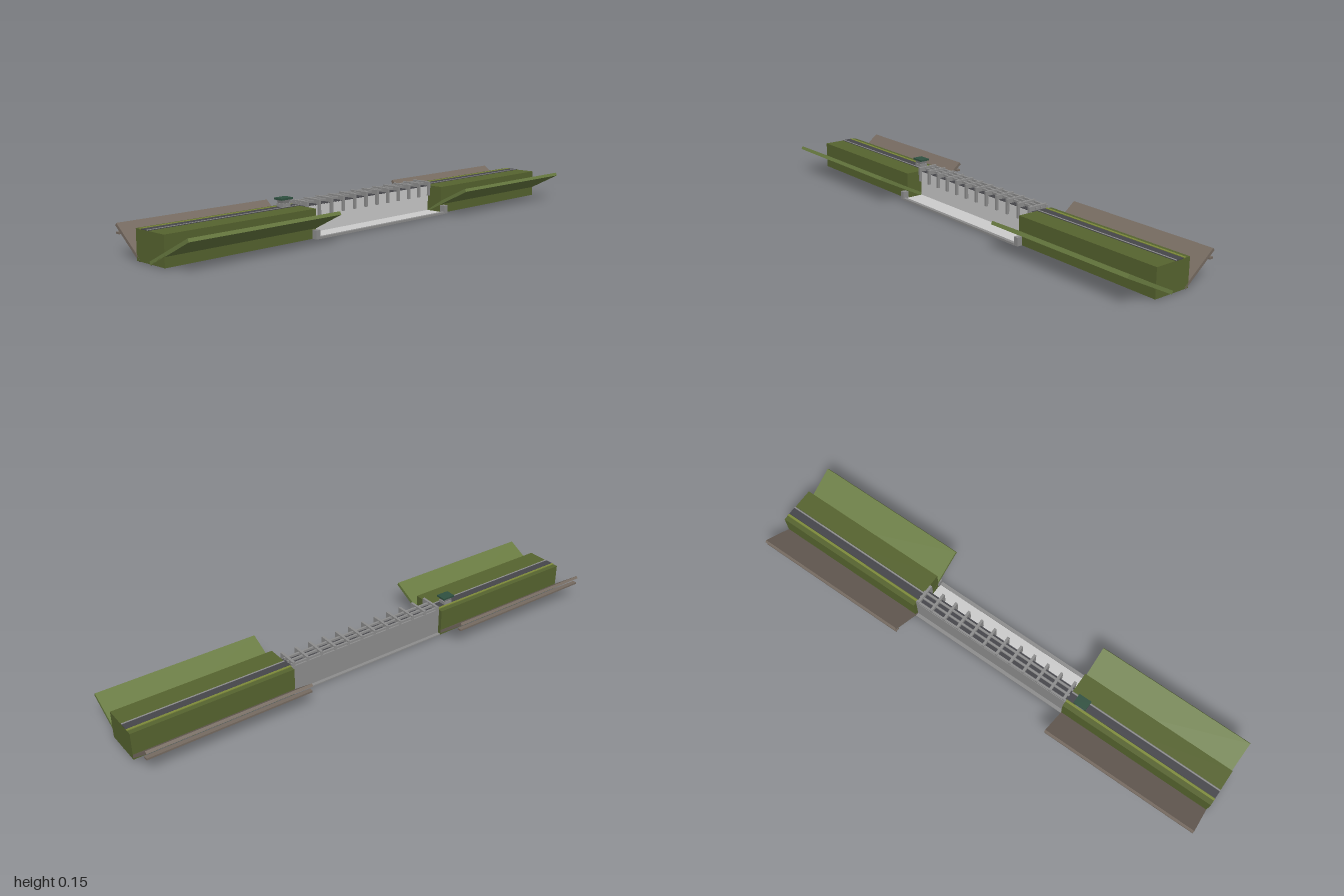
import * as THREE from 'three';

const mat = (color) => new THREE.MeshStandardMaterial({ color });
const GREEN = mat(0x56632f), LIGHT_GREEN = mat(0x687a40), BROWN = mat(0x756a60), DARK = mat(0x45454a);
const STEEL = mat(0x8c8c8c), PALE = mat(0xcccccc), CAP = mat(0x2f5040), LINE = mat(0x7d8a3a);

// Box given by its extents on each axis
function block(name, material, [x0, x1], [y0, y1], [z0, z1]) {
  const mesh = new THREE.Mesh(new THREE.BoxGeometry(x1 - x0, y1 - y0, z1 - z0), material);
  mesh.position.set((x0 + x1) / 2, (y0 + y1) / 2, (z0 + z1) / 2);
  mesh.name = name;
  return mesh;
}

// Slanted board running along x, with its mid-line from (z0, y0) to (z1, y1)
function board(name, material, [x0, x1], [z0, y0], [z1, y1], thickness) {
  const length = Math.hypot(z1 - z0, y1 - y0);
  const mesh = new THREE.Mesh(new THREE.BoxGeometry(x1 - x0, thickness, length), material);
  mesh.position.set((x0 + x1) / 2, (y0 + y1) / 2, (z0 + z1) / 2);
  mesh.rotation.x = -Math.atan2(y1 - y0, z1 - z0);
  mesh.name = name;
  return mesh;
}

// Long closed section with a raised track and two flared side boards
function createWing(name, side) {
  const wing = new THREE.Group();
  wing.name = name;
  const span = side > 0 ? [0.35, 1] : [-1, -0.35];
  wing.add(
    block('wingBody', GREEN, span, [0.007, 0.115], [-0.082, 0.073]),
    board('frontFlap', LIGHT_GREEN, span, [-0.008, 0.0095], [0.2, 0.115], 0.013),
    board('backFlap', BROWN, span, [-0.2, 0.1125], [-0.067, 0.009], 0.011),
    block('backRail', BROWN, span, [0.08, 0.087], [-0.199, -0.182]),
    block('trackBed', DARK, span, [0.114, 0.117], [-0.051, -0.013]),
    block('trackEdge', LINE, span, [0.114, 0.118], [-0.062, -0.053]),
    block('trackRib', STEEL, span, [0.114, 0.118], [-0.02, -0.014])
  );
  return wing;
}

// Open middle section: wall, shelf and a rack of hooked crossbars
function createCentre() {
  const centre = new THREE.Group();
  centre.name = 'centreSection';
  const span = [-0.35, 0.35];
  centre.add(
    block('wall', PALE, span, [0.008, 0.112], [-0.056, 0.003]),
    block('backWall', STEEL, span, [0.008, 0.116], [-0.066, -0.056]),
    block('wallTop', DARK, span, [0.11, 0.114], [-0.06, 0.003]),
    block('basePlate', STEEL, span, [0.004, 0.009], [-0.08, 0.083]),
    block('shelf', PALE, span, [0.008, 0.012], [0, 0.084]),
    block('shelfLip', STEEL, span, [0.007, 0.015], [0.083, 0.097])
  );
  for (const z of [-0.061, -0.036, -0.012]) {
    centre.add(block('rackRail', STEEL, span, [0.12, 0.128], [z - 0.004, z + 0.004]));
  }
  const count = 12;
  for (let i = 0; i < count; i++) {
    const x = -0.34 + (0.68 * i) / (count - 1);
    const width = [x - 0.005, x + 0.005];
    const hook = new THREE.Group();
    hook.name = 'rackHook';
    hook.add(
      block('crossbar', STEEL, width, [0.116, 0.133], [-0.065, 0.02]),
      block('hookLeg', STEEL, width, [0.075, 0.12], [0.01, 0.02])
    );
    centre.add(hook);
  }
  // Short posts where the shelf meets the wings
  for (const side of [-1, 1]) {
    const x = 0.358 * side;
    centre.add(block('shelfPost', STEEL, [x - 0.01, x + 0.01], [0.007, 0.04], [0.07, 0.095]));
  }
  return centre;
}

// Small capped post on the right wing's track
function createTurret() {
  const turret = new THREE.Group();
  turret.name = 'turret';
  const neckGeometry = new THREE.CylinderGeometry(0.026, 0.02, 0.014, 4, 1);
  neckGeometry.rotateY(Math.PI / 4);
  const neck = new THREE.Mesh(neckGeometry, STEEL);
  neck.material = STEEL.clone();
  neck.material.flatShading = true;
  neck.position.set(-0.407, 0.136, -0.037);
  neck.name = 'neck';
  turret.add(
    block('turretBase', STEEL, [-0.425, -0.389], [0.115, 0.13], [-0.054, -0.02]),
    neck,
    block('turretCap', CAP, [-0.434, -0.38], [0.143, 0.15], [-0.058, -0.016])
  );
  return turret;
}

export function createModel() {
  const model = new THREE.Group();
  model.name = 'model';
  model.add(createWing('leftWing', 1), createWing('rightWing', -1), createCentre(), createTurret());
  return model;
}
